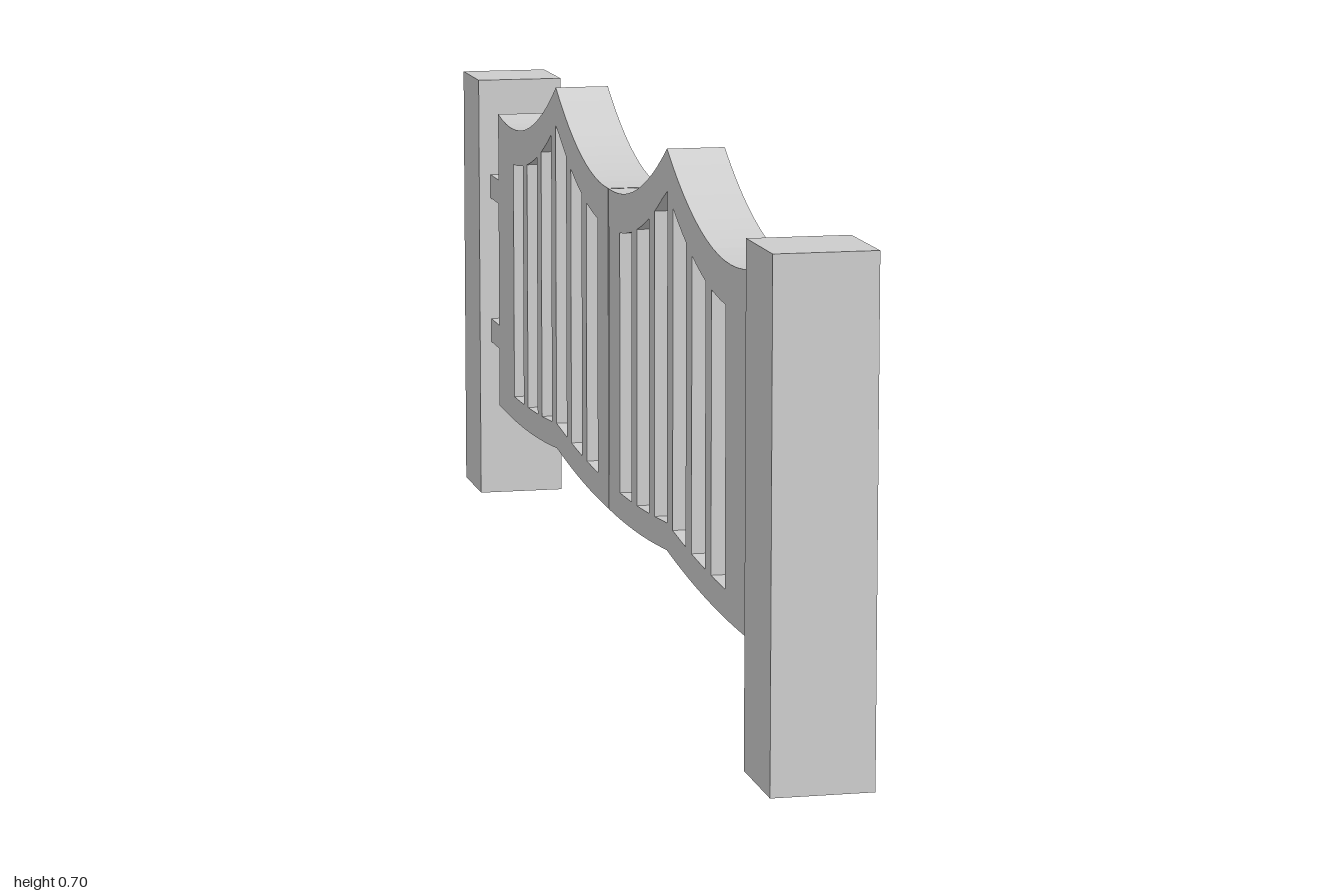
import * as THREE from 'three';

const MID = 0.006;               // z where the two leaves meet
const X0 = -0.047, X1 = 0.03;    // gate thickness range
const INNER = 0.002, OUTER = 0.81, PEAK = 0.3615;

// Two sagging curves that meet in a crest, u measured from the meeting line
function sag(u) {
  const c = u < PEAK ? PEAK - 0.345 : PEAK + 0.345;
  return ((u - c) / 0.345) ** 2;
}
const topY = (u) => 0.6 + 0.1 * sag(u);
const bottomY = (u) => 0.15 + 0.018 * sag(u);

// Points along a curve between two u values
function sample(fn, a, b, n) {
  return Array.from({ length: n + 1 }, (_, i) => {
    const u = a + ((b - a) * i) / n;
    return new THREE.Vector2(u, fn(u));
  });
}

function leafGeometry() {
  const shape = new THREE.Shape([
    ...sample(bottomY, INNER, PEAK, 12),
    ...sample(bottomY, PEAK, OUTER, 14).slice(1),
    ...sample(topY, OUTER, PEAK, 14),
    ...sample(topY, PEAK, INNER, 12).slice(1),
  ]);
  // Openings between the bars follow the rails
  for (let i = 0; i < 6; i++) {
    const a = 0.073 + i * 0.108, b = a + 0.075;
    shape.holes.push(new THREE.Path([
      ...sample((u) => topY(u) - 0.054, a, b, 3),
      ...sample((u) => bottomY(u) + 0.037, b, a, 3),
    ]));
  }
  return new THREE.ExtrudeGeometry(shape, { depth: X1 - X0, bevelEnabled: false });
}

export function createModel() {
  const group = new THREE.Group();
  group.name = 'doubleGate';
  const material = new THREE.MeshStandardMaterial({ color: 0xcccccc });

  function add(name, geometry, x, y, z) {
    const mesh = new THREE.Mesh(geometry, material);
    mesh.name = name;
    mesh.position.set(x, y, z);
    group.add(mesh);
    return mesh;
  }

  const leaf = leafGeometry();
  for (const s of [1, -1]) {
    const end = s > 0 ? 'front' : 'back';

    // Gate leaf, turned to run along z
    add(end + 'Leaf', leaf, s > 0 ? X1 : X0, 0, MID).rotation.y = -s * Math.PI / 2;

    // Post
    add(end + 'Post', new THREE.BoxGeometry(0.13, 0.655, 0.13), 0, 0.3275, s * 0.935);

    // Hinge blocks between leaf and post
    const from = MID + s * OUTER, to = s * 0.87;
    for (const [name, y] of [['UpperHinge', 0.488], ['LowerHinge', 0.26]]) {
      add(end + name, new THREE.BoxGeometry(X1 - X0, 0.037, Math.abs(to - from)),
        (X0 + X1) / 2, y, (from + to) / 2);
    }
  }
  return group;
}
